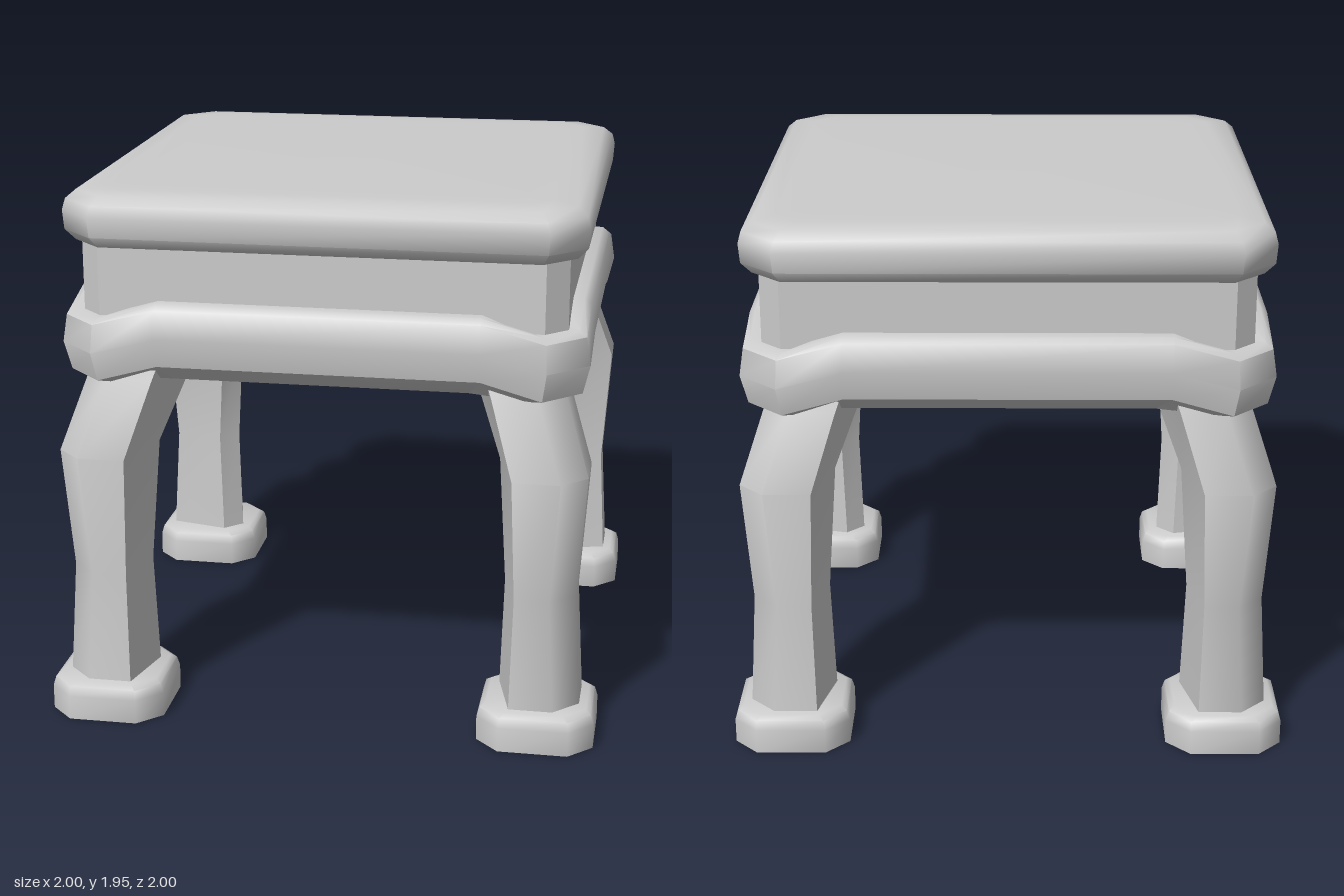
import * as THREE from 'three';
import { toCreasedNormals } from 'three/addons/utils/BufferGeometryUtils.js';

const material = new THREE.MeshStandardMaterial({ color: 0xcccccc });

// Skin a stack of closed rings (bottom to top, each running from +x towards +z) and cap both ends.
function loft(name, rings, crease) {
  const n = rings[0].length;
  const positions = rings.flat(2);
  const index = [];
  for (let i = 0; i < rings.length - 1; i++) {
    for (let j = 0; j < n; j++) {
      const a = i * n + j, b = i * n + (j + 1) % n;
      index.push(a, a + n, b, b, a + n, b + n);
    }
  }
  for (const top of [false, true]) {
    const r = top ? rings.length - 1 : 0;
    const centre = [0, 1, 2].map(k => rings[r].reduce((s, p) => s + p[k], 0) / n);
    const c = positions.push(...centre) / 3 - 1;
    for (let j = 0; j < n; j++) {
      const a = r * n + j, b = r * n + (j + 1) % n;
      index.push(c, top ? b : a, top ? a : b);
    }
  }
  const geometry = new THREE.BufferGeometry();
  geometry.setAttribute('position', new THREE.Float32BufferAttribute(positions, 3));
  geometry.setIndex(index);
  const mesh = new THREE.Mesh(toCreasedNormals(geometry, crease), material);
  mesh.name = name;
  return mesh;
}

// Square ring with cut corners. With mid set, each side gains two points at +-mid, raised by lift.
function squareRing(half, cut, y, mid = 0, lift = 0) {
  const e = half - cut;
  const side = [[half, y, -e]];
  if (mid) side.push([half, y + lift, -mid], [half, y + lift, mid]);
  side.push([half, y, e]);
  const ring = [];
  for (let q = 0; q < 4; q++) {
    for (const [x, h, z] of side) {
      ring.push([[x, h, z], [-z, h, x], [-x, h, -z], [z, h, -x]][q]);
    }
  }
  return ring;
}

// Leg section: bevelled outer corner, sides tapering inwards to a small inner bevel.
function legRing(y, outer, edge, inner) {
  const bevel = outer - 0.09, back = inner + 0.07;
  return [
    [outer, y, edge], [outer, y, bevel], [bevel, y, outer],
    [edge, y, outer], [inner, y, back], [back, y, inner],
  ];
}

export function createModel() {
  const group = new THREE.Group();

  // Cushioned seat slab: half width, corner cut, height
  group.add(loft('seat', [
    [0.80, 0.09, 1.75], [0.885, 0.11, 1.76], [0.92, 0.125, 1.80], [0.925, 0.125, 1.87],
    [0.915, 0.125, 1.91], [0.88, 0.11, 1.94], [0.80, 0.09, 1.95], [0.70, 0.07, 1.952],
  ].map(p => squareRing(...p)), 0.95));

  // Recessed waist
  group.add(loft('waist', [
    squareRing(0.86, 0.075, 1.40), squareRing(0.86, 0.075, 1.78),
  ], 0.3));

  // Rounded apron that dips at the corners
  group.add(loft('apron', [
    [0.80, 0.11, 1.27, 0.52, 0], [0.87, 0.12, 1.27, 0.57, 0.06], [0.915, 0.13, 1.285, 0.57, 0.06],
    [0.94, 0.14, 1.39, 0.57, 0.06], [0.925, 0.13, 1.49, 0.57, 0.06],
    [0.90, 0.12, 1.51, 0.57, 0.06], [0.82, 0.10, 1.51, 0.57, 0.06],
  ].map(p => squareRing(...p)), 0.8));

  // Four legs, each with a foot, turned about the centre
  for (let i = 0; i < 4; i++) {
    const corner = new THREE.Group();
    corner.name = 'legAssembly' + (i + 1);
    corner.add(loft('leg', [
      [0.10, 0.945, 0.695, 0.64], [0.55, 0.92, 0.705, 0.655], [1.00, 0.95, 0.69, 0.625],
      [1.27, 0.86, 0.605, 0.52], [1.34, 0.84, 0.58, 0.50],
    ].map(p => legRing(...p)), 0.9));

    const foot = loft('foot', [
      [0.21, 0.085, 0], [0.21, 0.085, 0.09], [0.20, 0.08, 0.125], [0.18, 0.075, 0.14],
    ].map(p => squareRing(...p)), 0.9);
    foot.position.set(0.79, 0, 0.79);
    corner.add(foot);

    corner.rotation.y = i * Math.PI / 2;
    group.add(corner);
  }
  return group;
}
